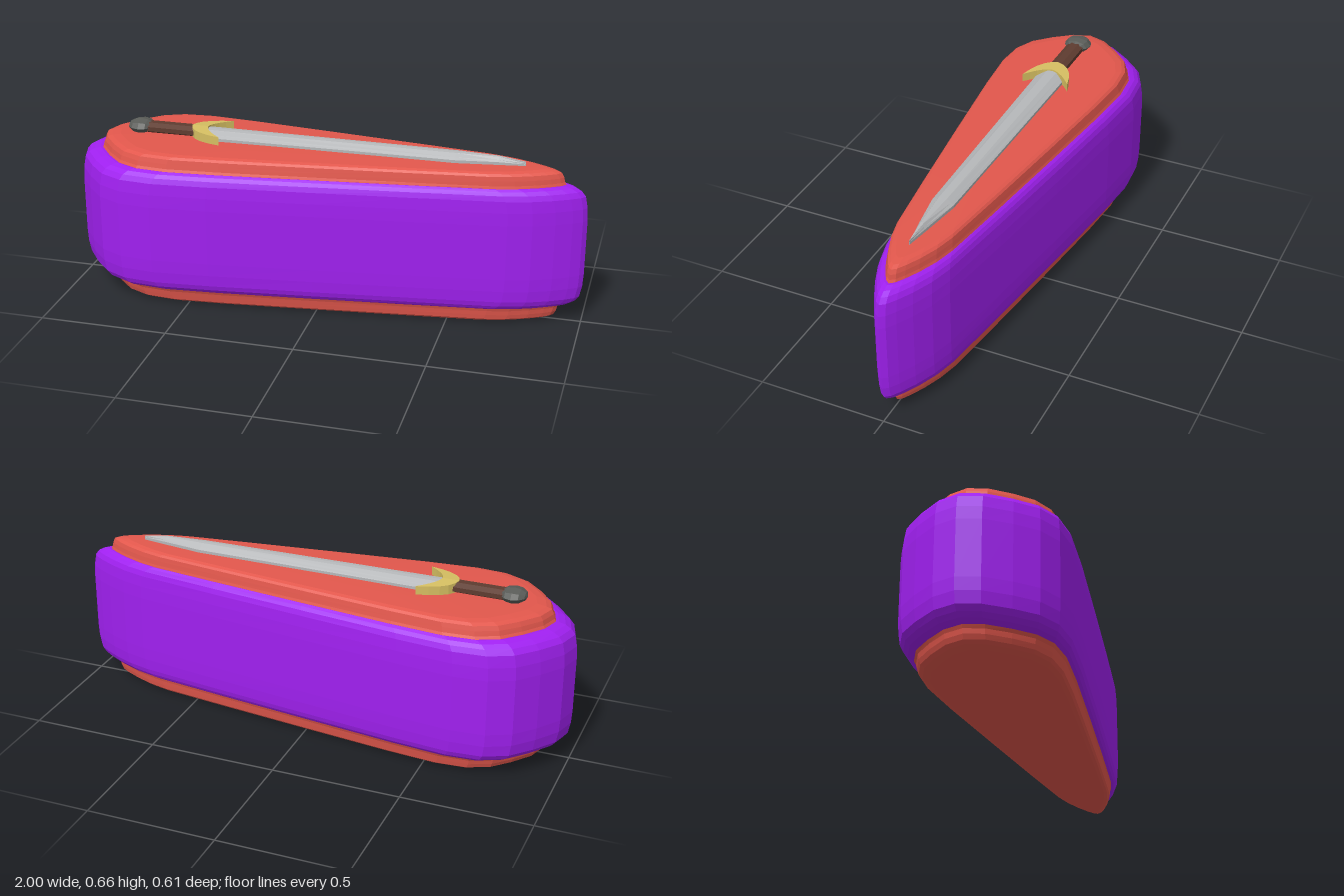
import * as THREE from 'three';

const mat = (color) => new THREE.MeshStandardMaterial({ color, flatShading: true });

// Skins a list of closed rings (arrays of Vector3) with triangles
function loft(rings) {
  const pos = [];
  const tri = (a, b, c) => {
    const area = b.clone().sub(a).cross(c.clone().sub(a)).length();
    if (area > 1e-9) for (const p of [a, b, c]) pos.push(p.x, p.y, p.z);
  };
  for (let i = 0; i < rings.length - 1; i++) {
    const lo = rings[i], hi = rings[i + 1], n = lo.length;
    for (let j = 0; j < n; j++) {
      const k = (j + 1) % n;
      tri(lo[j], lo[k], hi[k]);
      tri(lo[j], hi[k], hi[j]);
    }
  }
  const g = new THREE.BufferGeometry();
  g.setAttribute('position', new THREE.Float32BufferAttribute(pos, 3));
  g.computeVertexNormals();
  return g;
}

// Teardrop outline: blunt at -x, narrow at +x
const side = [
  [-0.975, 0.085], [-0.91, 0.175], [-0.84, 0.25], [-0.75, 0.294], [-0.62, 0.305],
  [-0.4, 0.284], [0.0, 0.232], [0.4, 0.178], [0.72, 0.132], [0.81, 0.108],
  [0.89, 0.075], [0.95, 0.043], [0.985, 0.02],
];
const outline = [[-1, 0], ...side, [1, 0], ...side.map(([x, z]) => [x, -z]).reverse()];

// Levels are [y, half length, half width]
const teardrop = (levels) => loft(levels.map(([y, l, w]) =>
  outline.map(([x, z]) => new THREE.Vector3(x * l, y, z * w / 0.305))));

export function createModel() {
  const model = new THREE.Group();
  const add = (name, geometry, material) => {
    const mesh = new THREE.Mesh(geometry, material);
    mesh.name = name;
    model.add(mesh);
    return mesh;
  };
  const purple = mat(0xa020f0), red = mat(0xe2574c), gold = mat(0xd6bf62);
  const steel = mat(0xb6b8ba), leather = mat(0x5e3c30), iron = mat(0x5a5c58);

  // Rounded teardrop body
  add('body', teardrop([
    [0.065, 0, 0], [0.065, 0.925, 0.265], [0.072, 0.95, 0.278], [0.085, 0.972, 0.29],
    [0.105, 0.988, 0.298], [0.15, 0.997, 0.303], [0.2, 1, 0.305], [0.42, 1, 0.305],
    [0.47, 0.997, 0.303], [0.515, 0.988, 0.298], [0.535, 0.972, 0.29],
    [0.548, 0.95, 0.278], [0.555, 0.925, 0.265], [0.555, 0, 0],
  ]), purple);

  // Matching covers above and below, mirrored about the body's middle
  const cover = [
    [0.553, 0.915, 0.264], [0.565, 0.908, 0.258], [0.583, 0.904, 0.254],
    [0.6, 0.895, 0.25], [0.608, 0.875, 0.24], [0.613, 0.84, 0.222],
    [0.616, 0.5, 0.12], [0.618, 0, 0],
  ];
  add('topCover', teardrop(cover), red);
  add('bottomCover', teardrop(cover.map(([y, l, w]) => [0.618 - y, l, w]).reverse()), red);

  // Sword blade: bevelled section tapering to a point
  const section = [
    [-1, 0], [-1, 0.4], [-0.75, 0.62], [-0.35, 0.95], [0, 1],
    [0.35, 0.95], [0.75, 0.62], [1, 0.4], [1, 0],
  ];
  const stations = [
    [-0.5, 0, 0], [-0.5, 0.058, 0.036], [0.5, 0.043, 0.034],
    [0.66, 0.018, 0.031], [0.76, 0.001, 0.018], [0.76, 0, 0],
  ];
  add('blade', loft(stations.map(([x, w, h]) =>
    section.map(([z, y]) => new THREE.Vector3(x, 0.613 + y * h, z * w)))), steel);

  // Crescent guard
  const crescent = new THREE.Shape();
  crescent.moveTo(-0.405, 0.096);
  crescent.quadraticCurveTo(-0.535, 0.07, -0.543, 0);
  crescent.quadraticCurveTo(-0.535, -0.07, -0.405, -0.096);
  crescent.quadraticCurveTo(-0.475, -0.04, -0.478, 0);
  crescent.quadraticCurveTo(-0.475, 0.04, -0.405, 0.096);
  const guard = new THREE.ExtrudeGeometry(crescent, {
    depth: 0.04, bevelEnabled: false, curveSegments: 5,
  });
  guard.rotateX(-Math.PI / 2).translate(0, 0.613, 0);
  // Top dips slightly towards the horn tips
  const gp = guard.attributes.position;
  for (let i = 0; i < gp.count; i++) {
    if (gp.getY(i) > 0.63) gp.setY(i, 0.655 - 0.06 * Math.abs(gp.getZ(i)));
  }
  guard.computeVertexNormals();
  add('guard', guard, gold);

  // Grip
  const grip = new THREE.CylinderGeometry(0.037, 0.037, 0.2, 8);
  grip.rotateY(Math.PI / 8).rotateZ(Math.PI / 2).scale(1, 0.6, 1);
  add('grip', grip, leather).position.set(-0.62, 0.632, 0);

  // Pommel
  const pommel = new THREE.SphereGeometry(1, 8, 6);
  pommel.rotateZ(Math.PI / 2).scale(0.052, 0.028, 0.055);
  add('pommel', pommel, iron).position.set(-0.752, 0.635, 0);

  return model;
}
